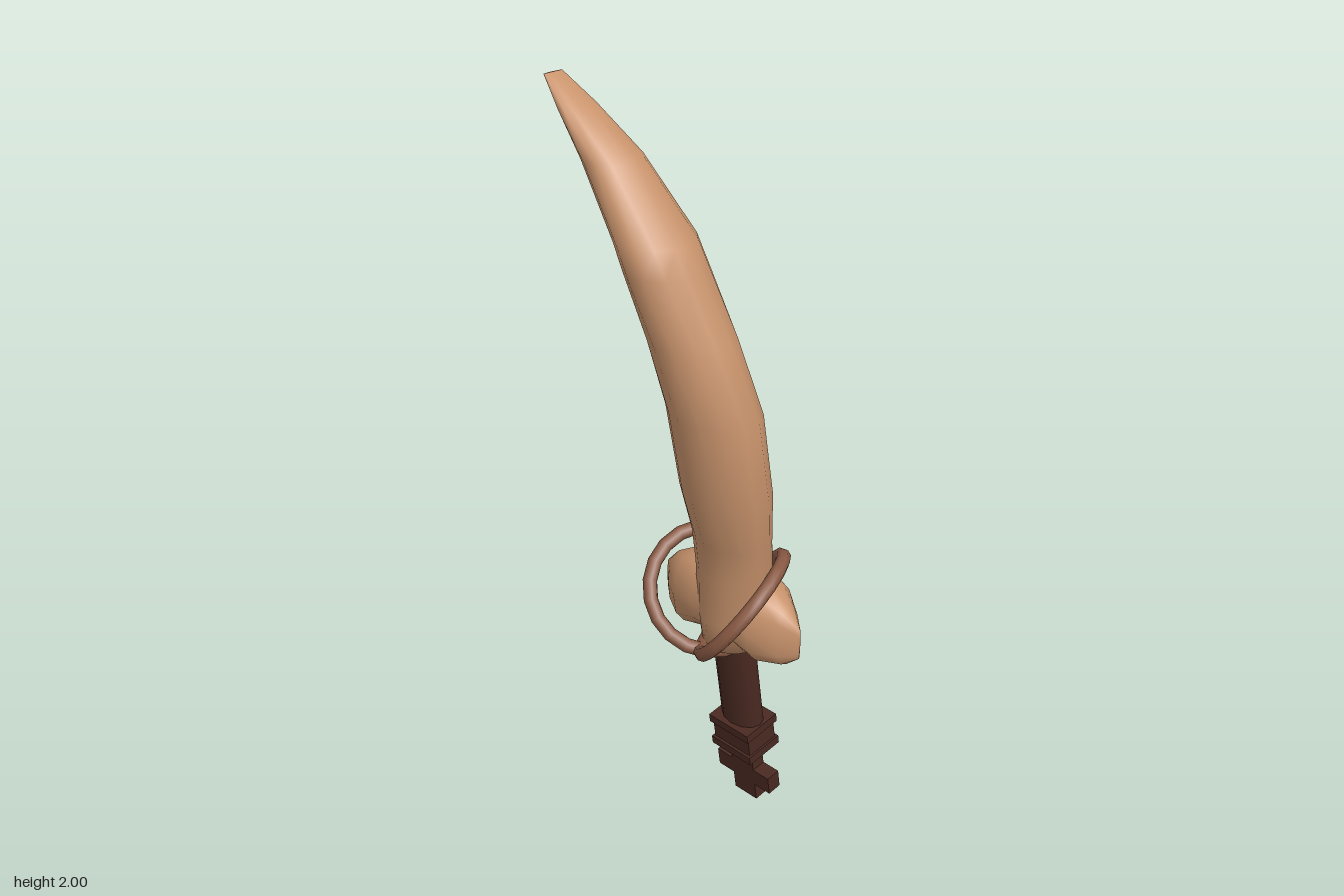
import * as THREE from 'three';

const mat = (name, color) => {
  const m = new THREE.MeshStandardMaterial({ color });
  m.name = name;
  return m;
};

// Skin a closed surface over rings of points, with a fan at each end
function loft(rings) {
  const n = rings[0].length, pos = [], idx = [];
  rings.forEach(r => r.forEach(p => pos.push(...p)));
  for (let j = 0; j < rings.length - 1; j++) {
    for (let i = 0; i < n; i++) {
      const a = j * n + i, b = j * n + (i + 1) % n;
      idx.push(a, a + n, b, b, a + n, b + n);
    }
  }
  const last = (rings.length - 1) * n;
  for (let i = 1; i < n - 1; i++) {
    idx.push(0, i, i + 1);
    idx.push(last, last + i + 1, last + i);
  }
  const g = new THREE.BufferGeometry();
  g.setAttribute('position', new THREE.Float32BufferAttribute(pos, 3));
  g.setIndex(idx);
  g.computeVertexNormals();
  return g;
}

const angles = n => Array.from({ length: n }, (_, i) => (i / n) * Math.PI * 2);
const soft = (v, p) => Math.sign(v) * Math.pow(Math.abs(v), p);

export function createModel() {
  const model = new THREE.Group();
  const bone = mat('pale tan', 0xc8936c);
  const cord = mat('cord brown', 0x8a5a44);
  const dark = mat('dark wood', 0x4a2a21);

  const add = (parent, name, geo, material, x = 0, y = 0, z = 0) => {
    const m = new THREE.Mesh(geo, material);
    m.name = name;
    m.position.set(x, y, z);
    parent.add(m);
    return m;
  };

  // Curved blade: y, x min, x max, z min, z max
  const blade = [
    [0.57, -0.03, 0.13, -0.01, 0.17],
    [0.66, -0.045, 0.13, -0.02, 0.19],
    [0.8, -0.055, 0.118, -0.02, 0.215],
    [0.9, -0.07, 0.105, -0.02, 0.225],
    [1.05, -0.125, 0.085, -0.02, 0.25],
    [1.27, -0.157, 0.055, -0.035, 0.242],
    [1.45, -0.185, 0.032, -0.065, 0.175],
    [1.61, -0.21, 0.01, -0.105, 0.1],
    [1.67, -0.211, 0.003, -0.13, 0.07],
    [1.84, -0.207, -0.05, -0.213, -0.065],
    [1.94, -0.197, -0.09, -0.265, -0.2],
    [2.0, -0.172, -0.117, -0.31, -0.303],
  ];
  add(model, 'blade', loft(blade.map(([y, x0, x1, z0, z1]) => angles(14).map(a => {
    const c = Math.cos(a), s = Math.sin(a);
    const flat = c < 0 && s < 0 ? 1 - 0.28 * c * s : 1; // flatter inner side
    return [(x0 + x1) / 2 + (x1 - x0) / 2 * c * flat, y, (z0 + z1) / 2 + (z1 - z0) / 2 * s * flat];
  }))), bone);

  // Guard with two wedge-ended lobes: distance from middle, x half width, y min, y max
  const half = [
    [0.235, 0.004, 0.6, 0.69],
    [0.195, 0.04, 0.565, 0.735],
    [0.13, 0.085, 0.555, 0.775],
    [0.06, 0.09, 0.575, 0.79],
  ];
  const guard = [...half, ...half.slice().reverse().map(([d, ...r]) => [-d, ...r])];
  add(model, 'guard', loft(guard.map(([d, rx, y0, y1]) => angles(12).map(a => [
    0.065 + rx * soft(Math.cos(a), 0.85),
    (y0 + y1) / 2 + (y1 - y0) / 2 * soft(Math.sin(a), 0.85),
    0.07 + d,
  ]))), bone);

  // Two crossed cord rings tied around the guard
  for (const s of [1, -1]) {
    const ring = add(model, s > 0 ? 'frontCordRing' : 'backCordRing',
      new THREE.TorusGeometry(0.163, 0.019, 8, 20), cord, 0.045, 0.69, 0.07 + 0.055 * s);
    ring.quaternion.setFromUnitVectors(new THREE.Vector3(0, 0, 1),
      new THREE.Vector3(0.38, -0.6, 0.7 * s).normalize());
  }

  // Hilt, leaning with the blade
  const hilt = new THREE.Group();
  hilt.name = 'hilt';
  hilt.position.set(0.146, 0.006, 0.078);
  hilt.rotation.z = 0.145;
  model.add(hilt);
  const grip = add(hilt, 'grip', new THREE.CylinderGeometry(1, 1, 0.38, 12), dark, 0, 0.43, 0);
  grip.scale.set(0.044, 1, 0.066);
  add(hilt, 'collar', new THREE.BoxGeometry(0.1, 0.1, 0.13), dark, 0, 0.23, 0);
  for (const y of [0.19, 0.27]) {
    add(hilt, 'collarRim', new THREE.BoxGeometry(0.115, 0.025, 0.142), dark, 0, y, 0);
  }
  // Cross-shaped pommel
  add(hilt, 'pommelPost', new THREE.BoxGeometry(0.042, 0.2, 0.08), dark, 0, 0.1, 0);
  add(hilt, 'pommelBar', new THREE.BoxGeometry(0.042, 0.055, 0.19), dark, 0, 0.083, 0);

  return model;
}
